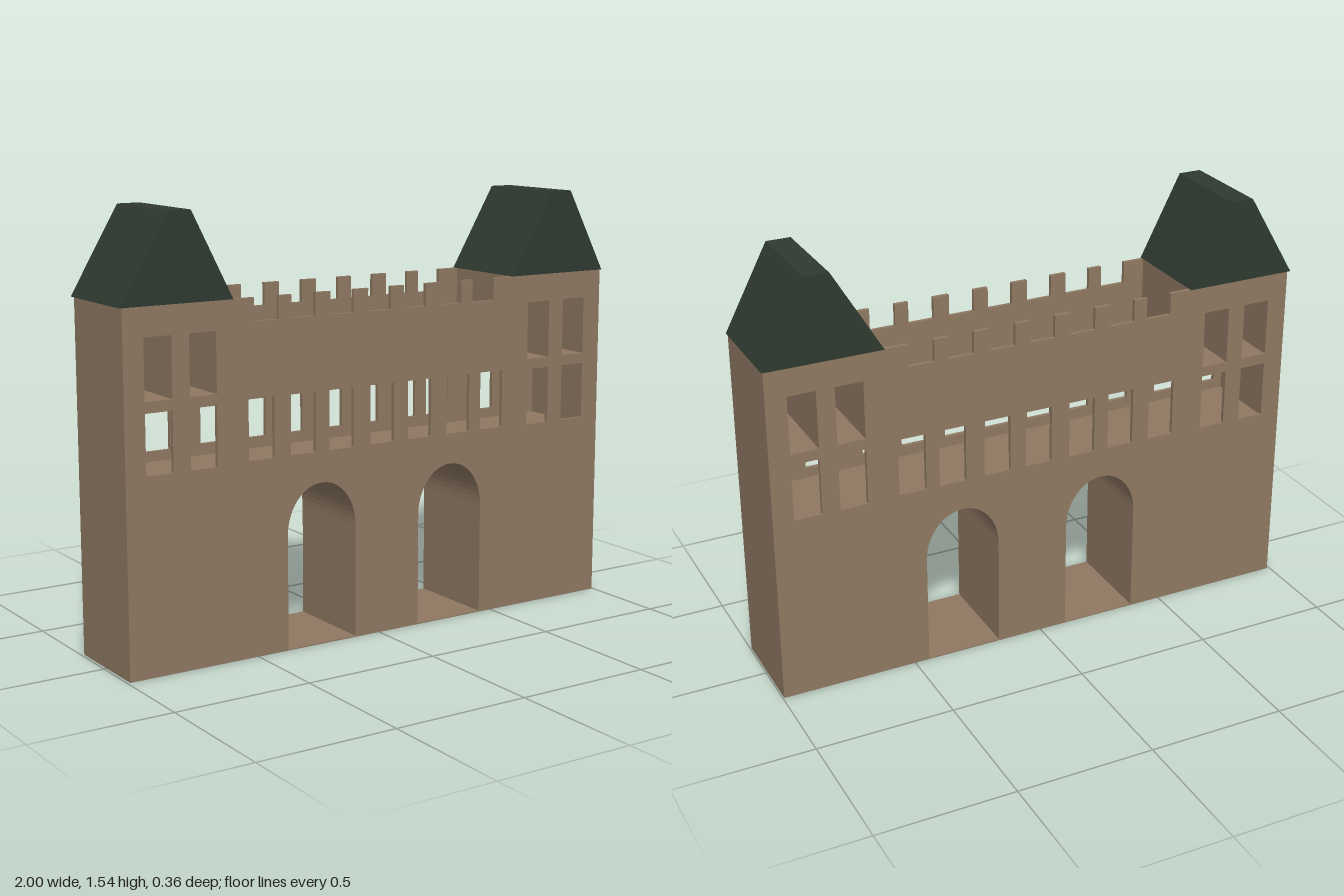
import * as THREE from 'three';

const TOP = 1.24, FLOOR = 0.65, DECK = 0.95, CEIL = 0.91;
const DEPTH = 0.35, SKIN = 0.015, CORE = DEPTH - 2 * SKIN;
const LEFT = -0.99, RIGHT = 0.995;

// left edges of the openings
const galleryX = [-0.53, -0.365, -0.21, -0.04, 0.12, 0.29, 0.44];
const towerX = [-0.915, -0.75, 0.655, 0.82];
const notchX = [-0.505, -0.36, -0.205, -0.05, 0.1, 0.255, 0.4];
const archX = [-0.38, 0.168];
const WIN = 0.1, NOTCH = 0.095, ARCH = 0.278;

function polygon(points, Type = THREE.Shape) {
  return new Type(points.map(([x, y]) => new THREE.Vector2(x, y)));
}

function rect(x0, x1, y0, y1, Type = THREE.Shape) {
  return polygon([[x0, y0], [x1, y0], [x1, y1], [x0, y1]], Type);
}

// ground-level outline running from x0 to x1 and cut by the two archways
function archedBase() {
  const points = [[LEFT, 0]];
  for (const x of archX) {
    points.push([x, 0]);
    for (let i = 0; i <= 24; i++) {
      const a = Math.PI * (1 - i / 24);
      points.push([x + ARCH / 2 * (1 + Math.cos(a)), 0.41 + 0.17 * Math.sin(a)]);
    }
    points.push([x + ARCH, 0]);
  }
  points.push([RIGHT, 0]);
  return points;
}

export function createModel() {
  const stone = new THREE.MeshStandardMaterial({ color: 0x8f7862 });
  stone.name = 'stone';
  const slate = new THREE.MeshStandardMaterial({ color: 0x2f3a30 });
  slate.name = 'slate';
  const model = new THREE.Group();
  model.name = 'gatehouse';

  // extrude a front outline through a depth centred on z
  function slab(name, shape, depth, z = 0, material = stone) {
    const geometry = new THREE.ExtrudeGeometry(shape, { depth, bevelEnabled: false });
    geometry.translate(0, 0, z - depth / 2);
    const mesh = new THREE.Mesh(geometry, material);
    mesh.name = name;
    model.add(mesh);
  }

  // battlemented front and back walls with every window
  const outline = [...archedBase(), [RIGHT, TOP]];
  for (const x of [...notchX].reverse()) {
    outline.push([x + NOTCH, TOP], [x + NOTCH, 1.16], [x, 1.16], [x, TOP]);
  }
  outline.push([LEFT, TOP]);
  const wall = polygon(outline);
  for (const x of galleryX) wall.holes.push(rect(x, x + WIN, 0.69, 0.9, THREE.Path));
  for (const x of towerX) {
    wall.holes.push(rect(x, x + WIN, 0.685, 0.892, THREE.Path));
    wall.holes.push(rect(x, x + WIN, 0.93, 1.14, THREE.Path));
  }
  slab('frontWall', wall, SKIN, (DEPTH - SKIN) / 2);
  slab('backWall', wall, SKIN, (SKIN - DEPTH) / 2);

  // solid lower storey with the gate passages, topped by the gallery floor
  slab('lowerStorey', polygon([...archedBase(), [RIGHT, FLOOR], [LEFT, FLOOR]]), CORE);
  for (const x of archX) slab('passageFloor', rect(x, x + ARCH, 0, 0.004), DEPTH);

  // open gallery: end walls and the roof deck above it
  slab('galleryEndRight', rect(LEFT, -0.95, FLOOR, CEIL), CORE);
  slab('galleryEndLeft', rect(0.955, RIGHT, FLOOR, CEIL), CORE);
  slab('roofDeck', rect(-0.585, 0.58, CEIL, DECK), CORE);

  // upper tower rooms pierced by windows, and their roofs
  const towers = [
    { side: 'Right', x0: LEFT, x1: -0.585, eave: [-1, -0.585], ridge: [-0.822, -0.738] },
    { side: 'Left', x0: 0.58, x1: RIGHT, eave: [0.577, 1], ridge: [0.755, 0.842] },
  ];
  for (const { side, x0, x1, eave, ridge } of towers) {
    const room = rect(x0, x1, CEIL, TOP);
    for (const x of towerX.filter((x) => x > x0 && x < x1)) {
      room.holes.push(rect(x, x + WIN, 0.93, 1.14, THREE.Path));
    }
    slab('tower' + side, room, CORE);
    slab('towerRoof' + side, polygon([
      [eave[0], TOP], [eave[1], TOP], [ridge[1], 1.54], [ridge[0], 1.54],
    ]), 0.358, 0, slate);
  }
  return model;
}
